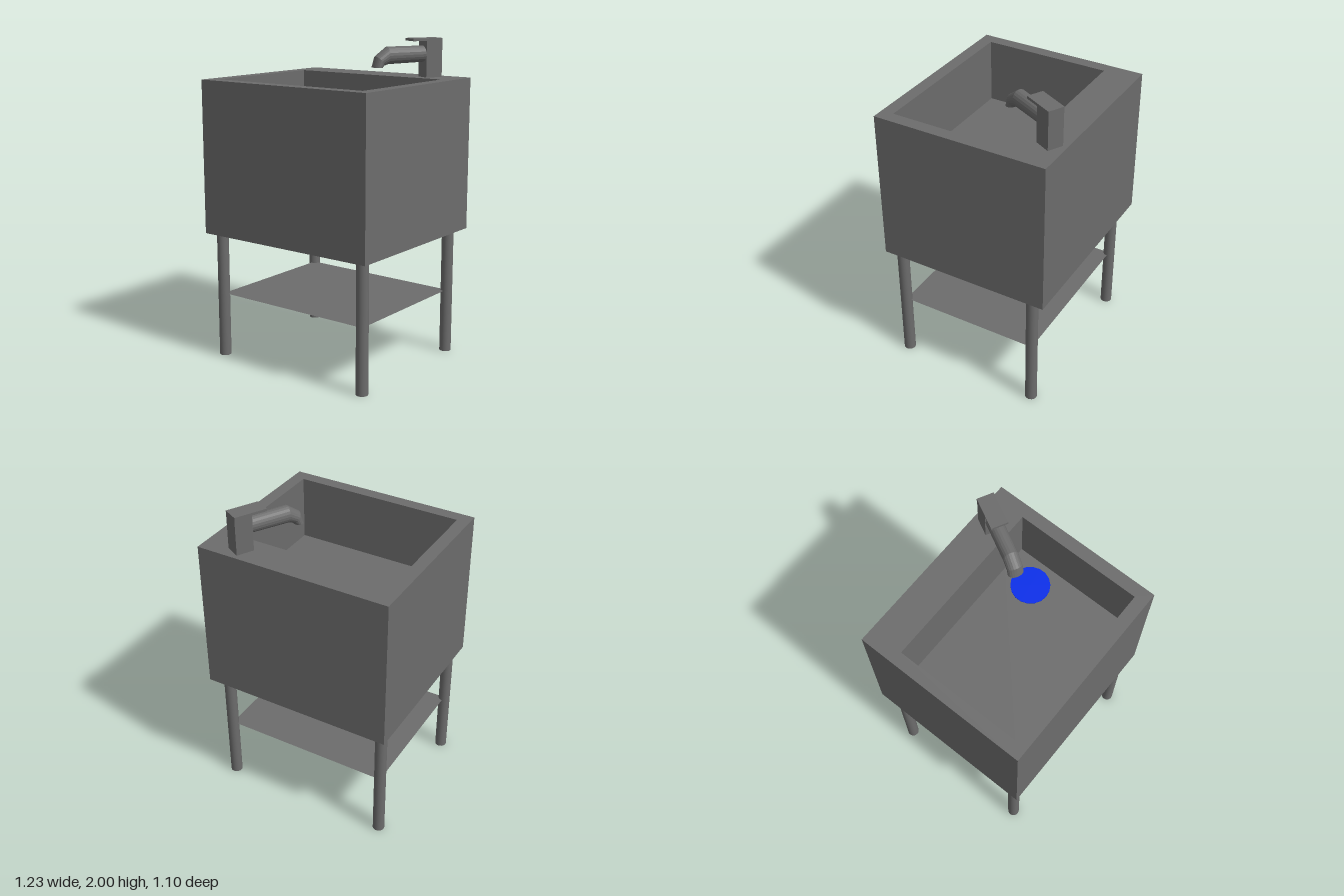
import * as THREE from 'three';

const grey = new THREE.MeshStandardMaterial({ color: 0x6c6c6c });
const greyFlat = new THREE.MeshStandardMaterial({ color: 0x6c6c6c, flatShading: true });
const greyThin = new THREE.MeshStandardMaterial({ color: 0x6c6c6c, side: THREE.DoubleSide });
const blue = new THREE.MeshStandardMaterial({ color: 0x002cea });

function add(parent, name, geometry, material, x = 0, y = 0, z = 0) {
  const mesh = new THREE.Mesh(geometry, material);
  mesh.name = name;
  mesh.position.set(x, y, z);
  parent.add(mesh);
}

function box(parent, name, w, h, d, x, y, z) {
  add(parent, name, new THREE.BoxGeometry(w, h, d), grey, x, y, z);
}

// Rectangle outline in plan; shape y becomes -z once laid flat
function rect(target, x0, x1, z0, z1) {
  target.moveTo(x0, -z1);
  target.lineTo(x1, -z1);
  target.lineTo(x1, -z0);
  target.lineTo(x0, -z0);
  target.closePath();
  return target;
}

// Bent spout: each ring is spanned by its top and bottom points, [z, y]
function spoutGeometry() {
  const sides = 20, half = 0.047;
  const rings = [
    { top: [0.10, 0.194], bottom: [0.10, 0.094] },
    { top: [0.36, 0.194], bottom: [0.355, 0.087] },
    { top: [0.437, 0.137], bottom: [0.385, 0.078] },
    { top: [0.455, 0.07], bottom: [0.395, 0.068] },
  ];
  const pos = [], index = [];
  for (const { top, bottom } of rings) {
    for (let i = 0; i < sides; i++) {
      const a = (i / sides) * Math.PI * 2, t = (1 + Math.cos(a)) / 2;
      pos.push(half * Math.sin(a),
        bottom[1] + (top[1] - bottom[1]) * t,
        bottom[0] + (top[0] - bottom[0]) * t);
    }
  }
  for (let r = 0; r < rings.length - 1; r++) {
    for (let i = 0; i < sides; i++) {
      const j = (i + 1) % sides, a = r * sides, b = a + sides;
      index.push(a + i, b + i, b + j, a + i, b + j, a + j);
    }
  }
  // Outlet cap
  const last = (rings.length - 1) * sides;
  for (let i = 1; i < sides - 1; i++) index.push(last, last + i + 1, last + i);
  const g = new THREE.BufferGeometry();
  g.setAttribute('position', new THREE.Float32BufferAttribute(pos, 3));
  g.setIndex(index);
  g.computeVertexNormals();
  return g;
}

export function createModel() {
  const model = new THREE.Group();
  model.name = 'utilitySink';

  const bottom = 0.802, floor = 1.35, rim = 1.76;

  // Tub: solid base below, open-topped walls above
  const tub = new THREE.Group();
  tub.name = 'tub';
  model.add(tub);
  box(tub, 'tubBase', 1.228, floor - bottom, 1.102, 0, (floor + bottom) / 2, 0);
  const outline = rect(new THREE.Shape(), -0.614, 0.614, -0.551, 0.551);
  outline.holes.push(rect(new THREE.Path(), -0.536, 0.536, -0.331, 0.472));
  const walls = new THREE.ExtrudeGeometry(outline, { depth: rim - floor, bevelEnabled: false });
  walls.rotateX(-Math.PI / 2);
  add(tub, 'tubWalls', walls, grey, 0, floor, 0);

  // Drain disc on the basin floor
  add(model, 'drain', new THREE.CylinderGeometry(0.122, 0.122, 0.004, 18), blue, 0.377, floor + 0.002, -0.138);

  // Legs
  for (const x of [-0.542, 0.542]) {
    for (const z of [-0.444, 0.474]) {
      add(model, 'leg', new THREE.CylinderGeometry(0.037, 0.037, bottom, 20), grey, x, bottom / 2, z);
    }
  }

  // Thin shelf reaching to the leg centres
  const shelf = new THREE.PlaneGeometry(1.084, 0.918);
  shelf.rotateX(-Math.PI / 2);
  add(model, 'shelf', shelf, greyThin, 0, 0.405, 0.015);

  // Tap, turned towards the basin; local z runs along the spout
  const tap = new THREE.Group();
  tap.name = 'tap';
  tap.position.set(0.408, rim, -0.4985);
  tap.rotation.y = -0.485;
  model.add(tap);
  box(tap, 'tapBody', 0.1, 0.224, 0.11, 0, 0.112, 0.055);
  box(tap, 'tapHandle', 0.103, 0.016, 0.204, 0, 0.232, 0.102);
  add(tap, 'spout', spoutGeometry(), greyFlat);

  return model;
}
